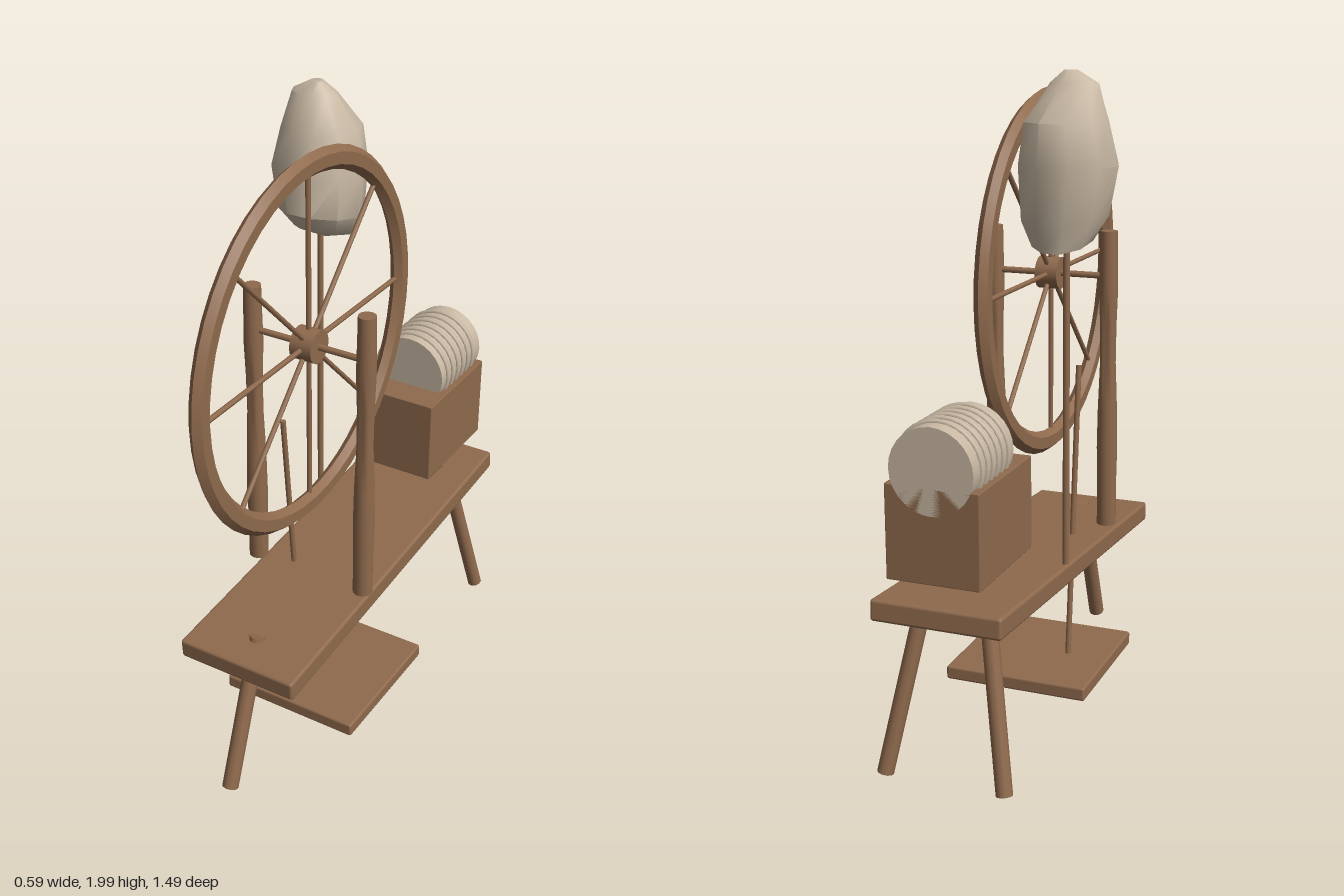
import * as THREE from 'three';
import { RoundedBoxGeometry } from 'three/addons/geometries/RoundedBoxGeometry.js';
import { toCreasedNormals } from 'three/addons/utils/BufferGeometryUtils.js';

const wood = new THREE.MeshStandardMaterial({ color: 0x8f6a4d });
wood.name = 'wood';
const wool = new THREE.MeshStandardMaterial({ color: 0xc8b8a3 });
wool.name = 'wool';

const MID = 0.053; // centre line of the machine
const V = (x, y, z) => new THREE.Vector3(x, y, z);

export function createModel() {
  const model = new THREE.Group();
  model.name = 'spinningWheel';

  function add(name, geometry, material, x = 0, y = 0, z = 0, parent = model) {
    const mesh = new THREE.Mesh(geometry, material);
    mesh.name = name;
    mesh.position.set(x, y, z);
    parent.add(mesh);
    return mesh;
  }

  // Round bar between two points
  function bar(name, a, b, r0, r1 = r0, sides = 10, parent = model) {
    const dir = b.clone().sub(a);
    const mesh = add(name, new THREE.CylinderGeometry(r1, r0, dir.length(), sides), wood, 0, 0, 0, parent);
    mesh.position.copy(a).add(b).multiplyScalar(0.5);
    mesh.quaternion.setFromUnitVectors(V(0, 1, 0), dir.normalize());
    return mesh;
  }

  // Sloping bench on three splayed legs
  const bench = add('bench', new RoundedBoxGeometry(0.4, 0.065, 1.336, 2, 0.01), wood, MID, 0.492, -0.075);
  bench.rotation.x = 0.069;
  bar('frontLeg', V(MID, 0.015, 0.642), V(MID, 0.49, 0.467), 0.026);
  for (const s of [-1, 1]) {
    bar('backLeg', V(MID + s * 0.187, 0.016, -0.698), V(MID + s * 0.1, 0.52, -0.597), 0.025);
  }

  // Treadle board and the rod rising from it
  add('treadle', new RoundedBoxGeometry(0.472, 0.045, 0.472, 2, 0.008), wood, MID, 0.087, 0.069);
  bar('treadleRod', V(-0.045, 0.1, 0.066), V(-0.045, 1.065, 0.158), 0.009);

  // Turned uprights
  const profile = [
    [0, 0.543], [0.031, 0.543], [0.031, 0.7], [0.033, 0.8], [0.031, 0.92], [0.025, 1.08],
    [0.026, 1.2], [0.03, 1.32], [0.028, 1.42], [0.027, 1.5], [0, 1.5],
  ].map(([r, y]) => new THREE.Vector2(r, y));
  const postGeometry = toCreasedNormals(new THREE.LatheGeometry(profile, 16), 0.9);
  for (const x of [-0.14, 0.245]) add('upright', postGeometry, wood, x, 0, 0.165);

  // Drive wheel, turning about the x axis
  const wheel = new THREE.Group();
  wheel.name = 'driveWheel';
  wheel.position.set(MID, 1.358, 0.165);
  model.add(wheel);
  const rimGeometry = new THREE.TorusGeometry(0.5435, 0.0355, 6, 48);
  rimGeometry.scale(1, 1, 0.7).rotateY(Math.PI / 2);
  add('rim', toCreasedNormals(rimGeometry, 0.5), wood, 0, 0, 0, wheel);
  bar('hub', V(-0.036, 0, 0), V(0.036, 0, 0), 0.051, 0.051, 16, wheel);
  bar('axle', V(-0.193, 0, 0), V(0.192, 0, 0), 0.01, 0.01, 10, wheel);
  for (let i = 0; i < 8; i++) {
    const a = (i * Math.PI) / 4;
    const c = Math.cos(a), s = Math.sin(a);
    bar('spoke', V(0, s * 0.04, c * 0.04), V(0, s * 0.515, c * 0.515), 0.008, 0.008, 8, wheel);
  }

  // Box holding a ribbed bobbin
  add('bobbinBox', new RoundedBoxGeometry(0.283, 0.28, 0.38, 1, 0.004), wood, MID, 0.78, -0.555);
  const bobbin = new THREE.CylinderGeometry(0.126, 0.126, 0.28, 28);
  bobbin.rotateX(Math.PI / 2);
  add('bobbin', bobbin, wool, MID, 0.965, -0.605);
  for (let i = 0; i < 6; i++) {
    add('yarnRing', new THREE.TorusGeometry(0.126, 0.009, 8, 32), wool, MID, 0.965, -0.505 - i * 0.037);
  }

  // Distaff with its irregular lump of fibre
  bar('distaff', V(-0.14, 0.54, -0.217), V(-0.14, 1.6, -0.217), 0.01);
  add('fibre', fibreGeometry(), wool);

  return model;
}

// Lofted lump: each ring is [y, xMin, xMax, zMin, zMax, backwardDrop]
function fibreGeometry() {
  const rings = [
    [1.5, -0.17, -0.12, -0.3, -0.24, 0],
    [1.53, -0.225, -0.045, -0.335, -0.13, 0.03],
    [1.6, -0.265, -0.005, -0.35, -0.075, 0.025],
    [1.74, -0.297, 0, -0.37, -0.085, 0],
    [1.86, -0.268, -0.02, -0.355, -0.11, 0],
    [1.965, -0.235, -0.09, -0.275, -0.165, 0],
    [2.0, -0.17, -0.13, -0.235, -0.195, 0],
  ];
  const sides = 10;
  const positions = [], index = [];
  for (const [y, x0, x1, z0, z1, drop] of rings) {
    for (let i = 0; i < sides; i++) {
      const a = (i / sides) * Math.PI * 2;
      positions.push(
        (x0 + x1) / 2 + (Math.cos(a) * (x1 - x0)) / 2,
        y + drop * Math.sin(a),
        (z0 + z1) / 2 + (Math.sin(a) * (z1 - z0)) / 2
      );
    }
  }
  for (let r = 0; r < rings.length - 1; r++) {
    for (let i = 0; i < sides; i++) {
      const j = (i + 1) % sides;
      const a = r * sides + i, b = r * sides + j;
      index.push(a, a + sides, b, b, a + sides, b + sides);
    }
  }
  // End caps
  const top = (rings.length - 1) * sides;
  for (let i = 1; i < sides - 1; i++) {
    index.push(0, i, i + 1, top, top + i + 1, top + i);
  }
  const geometry = new THREE.BufferGeometry();
  geometry.setAttribute('position', new THREE.Float32BufferAttribute(positions, 3));
  geometry.setIndex(index);
  return toCreasedNormals(geometry, 0.75);
}
